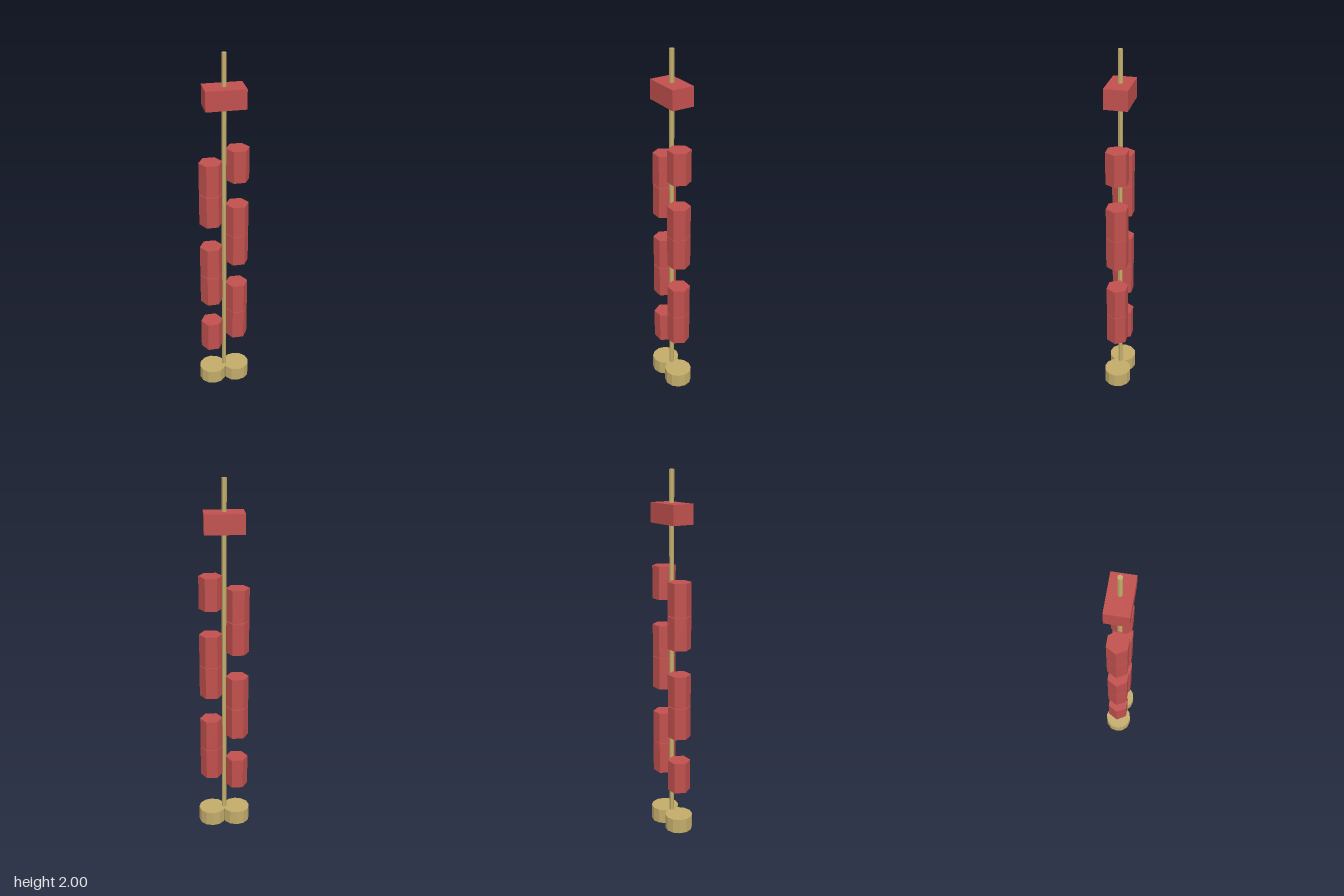
import * as THREE from 'three';

export function createModel() {
  const model = new THREE.Group();
  const red = new THREE.MeshStandardMaterial({ color: 0xc0504d, flatShading: true });
  red.name = 'red';
  const brass = new THREE.MeshStandardMaterial({ color: 0xc2ac6a, flatShading: true });
  brass.name = 'brass';

  const add = (name, geometry, material, x, y) => {
    const mesh = new THREE.Mesh(geometry, material);
    mesh.name = name;
    mesh.position.set(x, y, 0);
    model.add(mesh);
  };
  // Upright prism with a corner pointing along x
  const prism = (radius, height, sides) =>
    new THREE.CylinderGeometry(radius, radius, height, sides, 1, false, Math.PI / 2);

  // Central pole and the block near its top
  add('pole', prism(0.013, 2, 6), brass, 0, 1);
  add('topBlock', new THREE.BoxGeometry(0.21, 0.105, 0.123), red, 0, 1.778);

  // Two round feet
  const foot = prism(0.077, 0.083, 12);
  add('leftFoot', foot, brass, 0.07, 0.0415);
  add('rightFoot', foot, brass, -0.07, 0.0415);

  // Hexagonal blocks staggered on both sides of the pole
  const block = prism(0.063, 0.179, 6);
  for (const y of [0.4, 0.582, 0.905, 1.087, 1.41]) add('leftBlock', block, red, 0.072, y);
  for (const y of [0.33, 0.652, 0.835, 1.158, 1.341]) add('rightBlock', block, red, -0.072, y);

  return model;
}
